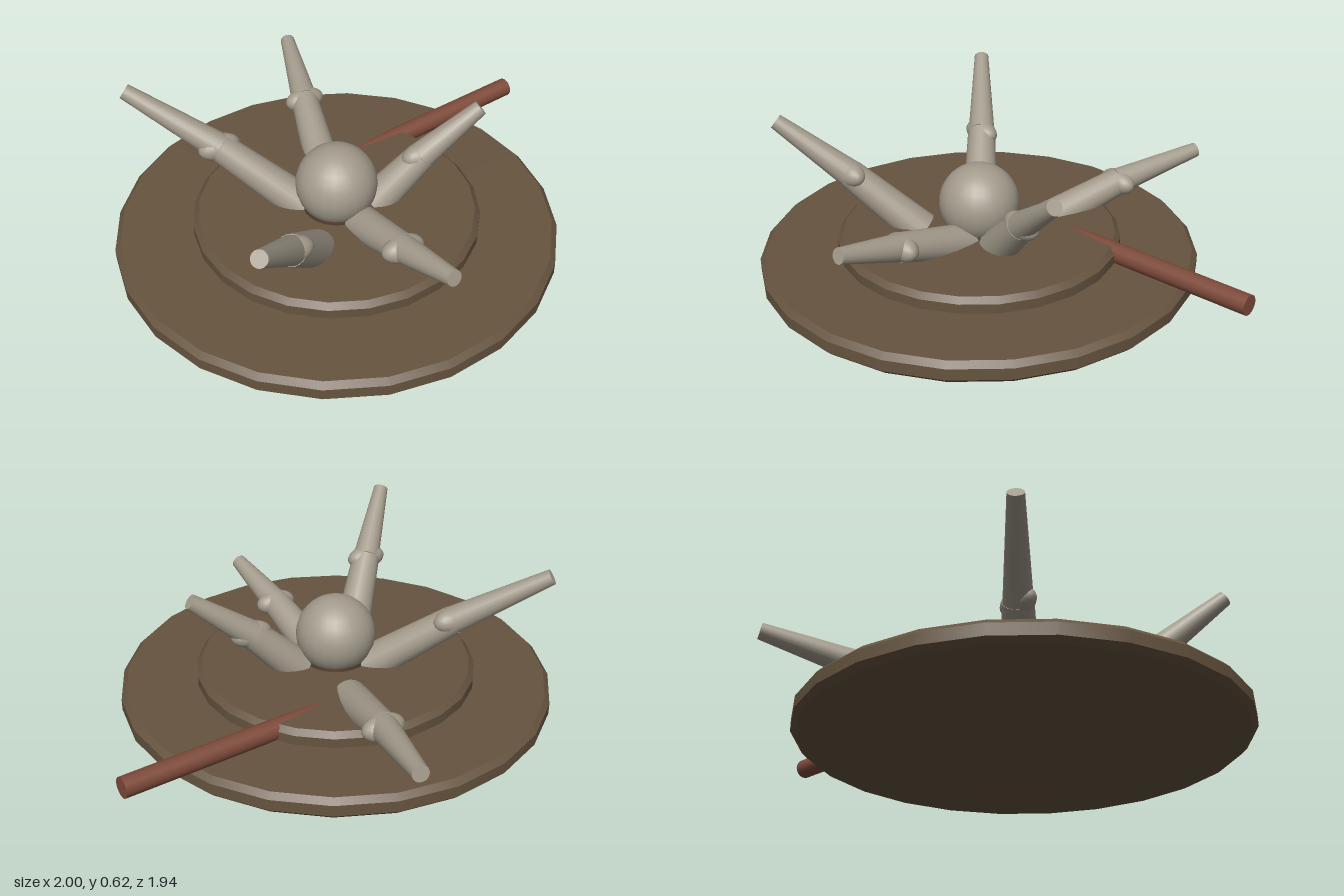
import * as THREE from 'three';

const mat = (name, color) => {
  const m = new THREE.MeshStandardMaterial({ color });
  m.name = name;
  return m;
};

export function createModel() {
  const model = new THREE.Group();
  model.name = 'limbsOnRoundBase';
  const wood = mat('brown wood', 0x66543f);
  const darkWood = mat('dark brown', 0x4f3b2b);
  const bone = mat('pale grey', 0xa39b8c);
  const rust = mat('red brown', 0x7d4a3a);
  const CX = -0.1, CZ = 0.063;

  const add = (name, geometry, material, parent = model) => {
    const mesh = new THREE.Mesh(geometry, material);
    mesh.name = name;
    parent.add(mesh);
    return mesh;
  };

  // Tapered rod between two points
  const rod = (name, a, b, ra, rb, material, parent) => {
    const from = new THREE.Vector3(...a), to = new THREE.Vector3(...b);
    const dir = to.clone().sub(from);
    const mesh = add(name, new THREE.CylinderGeometry(rb, ra, dir.length(), 20), material, parent);
    mesh.position.copy(from).add(to).multiplyScalar(0.5);
    mesh.quaternion.setFromUnitVectors(new THREE.Vector3(0, 1, 0), dir.normalize());
  };

  // Bevelled disc; doubled profile points keep the edges sharp
  const disc = (name, radius, bevel, y0, y1) => {
    const inner = radius - bevel;
    const pts = [[0, y0], [inner, y0], [inner, y0], [radius, y0 + bevel], [radius, y0 + bevel],
      [radius, y1 - bevel], [radius, y1 - bevel], [inner, y1], [inner, y1], [0, y1]];
    const geometry = new THREE.LatheGeometry(pts.map(p => new THREE.Vector2(...p)), 24);
    add(name, geometry, wood).position.set(CX, 0, CZ);
  };
  disc('lowerBase', 0.903, 0.022, 0.004, 0.095);
  disc('upperBase', 0.585, 0.022, 0.07, 0.157);

  // Central ball in its collar
  add('collar', new THREE.CylinderGeometry(0.13, 0.14, 0.05, 24), darkWood).position.set(CX, 0.175, CZ);
  add('ball', new THREE.SphereGeometry(0.166, 24, 16), bone).position.set(CX, 0.266, CZ);

  // Five limbs: [root, joint, tip]
  const limbs = {
    backLimb: [[-0.03, 0.1, -0.18], [0.06, 0.226, -0.575], [0.155, 0.303, -0.96]],
    backRightLimb: [[-0.21, 0.13, -0.025], [-0.475, 0.373, -0.24], [-0.77, 0.597, -0.47]],
    frontRightLimb: [[-0.275, 0.12, 0.235], [-0.475, 0.37, 0.445], [-0.677, 0.592, 0.655]],
    frontLimb: [[-0.065, 0.12, 0.13], [-0.035, 0.23, 0.49], [0.003, 0.315, 0.79]],
    leftLimb: [[0.06, 0.13, 0.095], [0.255, 0.325, 0.13], [0.493, 0.512, 0.175]],
  };
  for (const [name, [root, joint, tip]] of Object.entries(limbs)) {
    const limb = new THREE.Group();
    limb.name = name;
    model.add(limb);
    rod('upperSegment', root, joint, 0.078, 0.06, bone, limb);
    rod('lowerSegment', joint, tip, 0.058, 0.032, bone, limb);
    const knob = add('joint', new THREE.SphereGeometry(1, 20, 14), bone, limb);
    knob.scale.set(0.089, 0.053, 0.053);
    knob.position.set(...joint);
  }

  // Slanting stake sunk into the upper base
  rod('stake', [0.02, 0.111, -0.212], [0.995, 0.142, -0.345], 0.043, 0.041, rust);

  return model;
}
